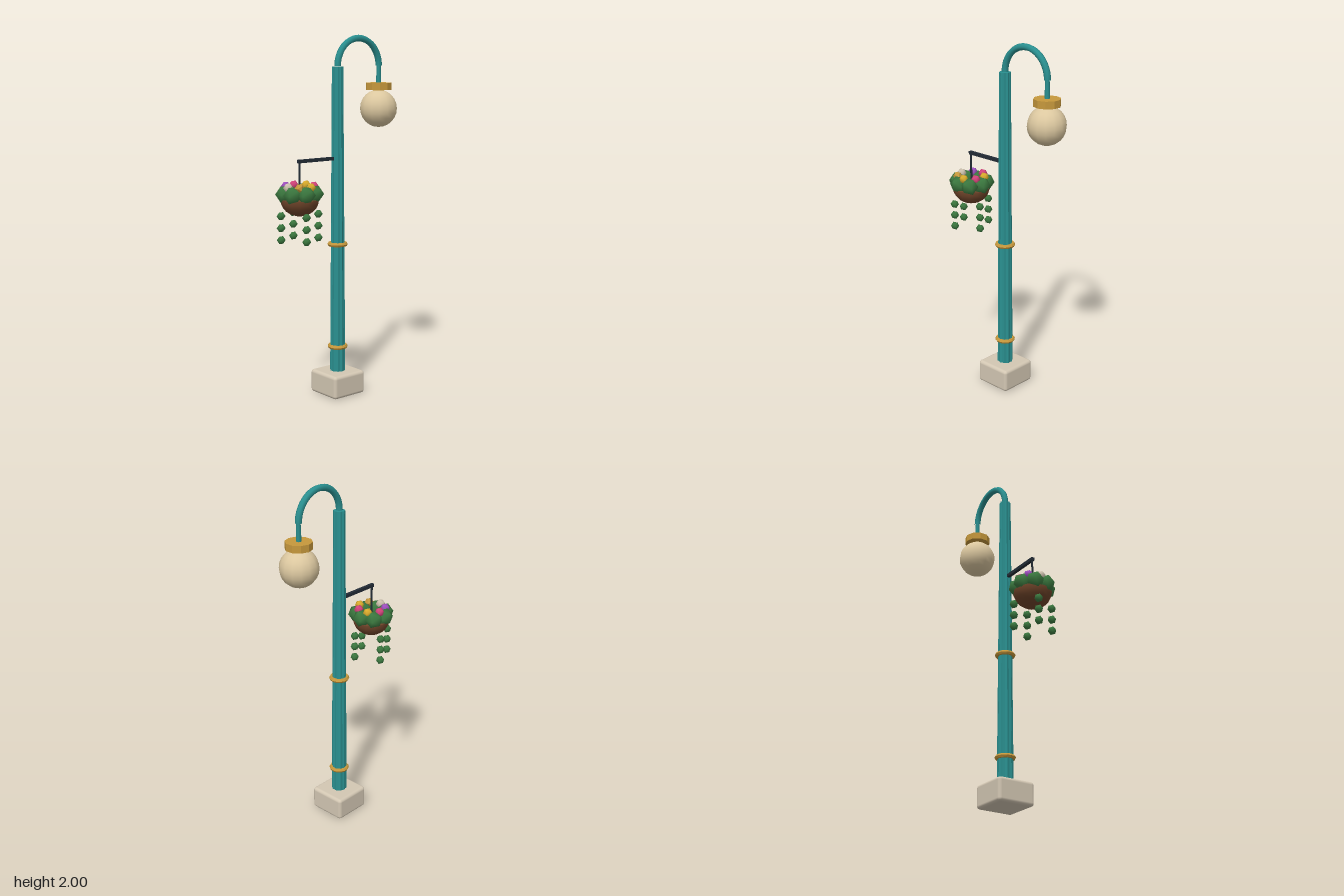
import * as THREE from 'three';
import { mergeVertices } from 'three/addons/utils/BufferGeometryUtils.js';
import { RoundedBoxGeometry } from 'three/addons/geometries/RoundedBoxGeometry.js';

const mat = (name, color, opts = {}) => {
  const m = new THREE.MeshStandardMaterial({ color, ...opts });
  m.name = name;
  return m;
};

// Low-poly blob with smooth normals
function blob(r) {
  const g = new THREE.IcosahedronGeometry(r, 0);
  g.deleteAttribute('uv');
  g.deleteAttribute('normal');
  const m = mergeVertices(g, r * 0.01);
  m.computeVertexNormals();
  return m;
}

export function createModel() {
  const teal = mat('teal paint', 0x2a9090, { flatShading: true });
  const tealSmooth = teal.clone();
  tealSmooth.flatShading = false;
  const gold = mat('brass', 0xc6983c, { flatShading: true });
  const stone = mat('pale stone', 0xd3c7b3);
  const glass = mat('warm glass', 0xdcc8a0);
  const iron = mat('dark iron', 0x232c36);
  const leaf = mat('leaf green', 0x3c7a40);
  const brown = mat('basket brown', 0x70452a);
  const pink = mat('pink petals', 0xd9457f);
  const yellow = mat('yellow petals', 0xdfb02e);
  const purple = mat('purple petals', 0xa352c4);

  const model = new THREE.Group();
  const add = (name, geo, material, x, y, z = 0, parent = model) => {
    const mesh = new THREE.Mesh(geo, material);
    mesh.name = name;
    mesh.position.set(x, y, z);
    parent.add(mesh);
    return mesh;
  };
  const postX = -0.01, lampX = 0.29;

  // Plinth
  add('base', new RoundedBoxGeometry(0.22, 0.13, 0.22, 3, 0.018), stone, postX, 0.065);

  // Tapered post with shallow flutes
  const post = new THREE.CylinderGeometry(0.032, 0.044, 1.72, 20);
  const p = post.attributes.position;
  for (let i = 0; i < p.count; i++) {
    const step = Math.round(Math.atan2(p.getX(i), p.getZ(i)) / (Math.PI / 10));
    const k = step % 2 ? 0.88 : 1;
    p.setXYZ(i, p.getX(i) * k, p.getY(i), p.getZ(i) * k);
  }
  add('post', post, teal, postX, 0.97);

  // Brass bands
  for (const y of [0.27, 0.855]) {
    add('band', new THREE.TorusGeometry(0.045, 0.012, 6, 14), gold, postX, y).rotation.x = Math.PI / 2;
  }

  // Arched neck and lamp stem
  add('neck', new THREE.TorusGeometry(0.15, 0.018, 8, 24, Math.PI), tealSmooth, 0.14, 1.832);
  add('stem', new THREE.CylinderGeometry(0.011, 0.015, 0.13, 8), tealSmooth, lampX, 1.785);

  // Lamp
  add('lampCap', new THREE.CylinderGeometry(0.073, 0.073, 0.04, 10), gold, lampX, 1.717);
  add('lampGlobe', new THREE.SphereGeometry(0.105, 14, 12), glass, lampX, 1.594);

  // Bracket for the flower basket
  const bx = -0.275;
  add('bracketArm', new THREE.BoxGeometry(0.255, 0.018, 0.018), iron, -0.1565, 1.333);
  add('bracketHanger', new THREE.CylinderGeometry(0.006, 0.006, 0.21, 6), iron, bx, 1.235);

  // Basket
  const basket = new THREE.Group();
  basket.name = 'flowerBasket';
  basket.position.x = bx;
  model.add(basket);
  const bowl = new THREE.SphereGeometry(0.105, 14, 6, 0, Math.PI * 2, Math.PI / 2, Math.PI / 2);
  add('bowl', bowl, brown, 0, 1.13, 0, basket).scale.y = 0.87;
  add('soil', new THREE.CircleGeometry(0.105, 14), brown, 0, 1.13, 0, basket).rotation.x = -Math.PI / 2;

  // Rings of leaves and blossoms
  const leafGeo = blob(0.051), flowerGeo = blob(0.027), dropGeo = blob(0.024);
  const petals = [pink, yellow, gold, stone, purple, pink, yellow];
  petals.forEach((petal, i) => {
    const a = (i / 7) * Math.PI * 2, b = a + Math.PI / 7;
    add('leafClump', leafGeo, leaf, 0.082 * Math.cos(a), 1.16, 0.082 * Math.sin(a), basket);
    // gold is flat shaded elsewhere, blossoms are smooth
    add('blossom', flowerGeo, petal, 0.077 * Math.cos(b), 1.198, 0.077 * Math.sin(b), basket);
  });

  // Trailing vines
  for (let i = 0; i < 4; i++) {
    const a = 0.32 + (i * Math.PI) / 2;
    for (const y of [1.045, 0.98, 0.915]) {
      add('vineLeaf', dropGeo, leaf, 0.106 * Math.cos(a), y, 0.106 * Math.sin(a), basket);
    }
  }
  return model;
}
